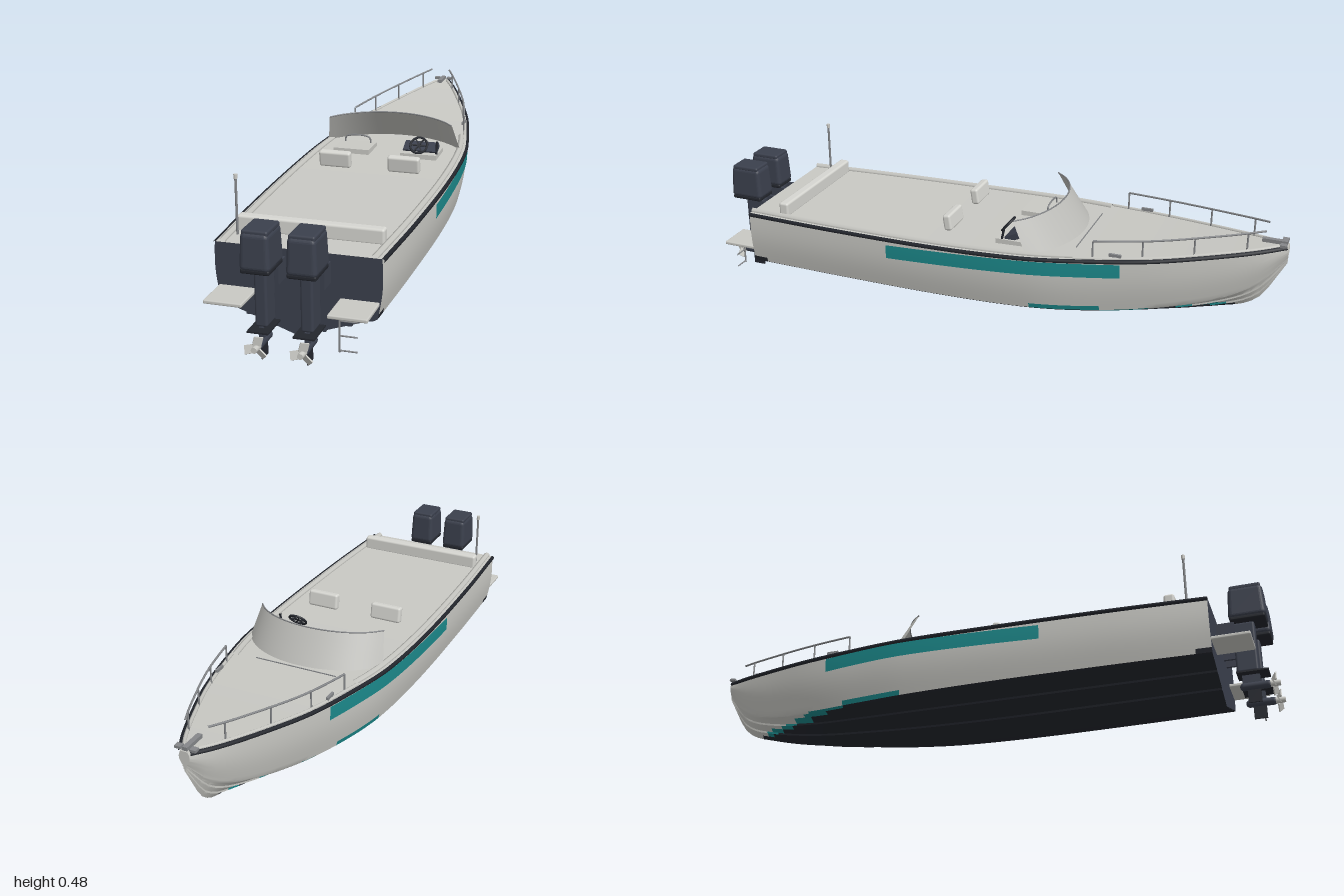
import * as THREE from 'three';
import { toCreasedNormals } from 'three/addons/utils/BufferGeometryUtils.js';
import { RoundedBoxGeometry } from 'three/addons/geometries/RoundedBoxGeometry.js';

const mat = (name, color, side = THREE.FrontSide) => {
  const m = new THREE.MeshStandardMaterial({ color, side });
  m.name = name;
  return m;
};

// Hull lines, from transom to stem
const Z = [0.82, 0.5, 0.1, -0.2, -0.4, -0.6, -0.8, -0.92, -1];
const SHEER_X = [0.252, 0.268, 0.275, 0.263, 0.229, 0.181, 0.108, 0.056, 0.012];
const SHEER_Y = [0.295, 0.298, 0.303, 0.312, 0.322, 0.335, 0.355, 0.369, 0.38];
const CHINE_X = [0.238, 0.248, 0.252, 0.238, 0.204, 0.15, 0.082, 0.038, 0.007];
const CHINE_Y = [0.11, 0.112, 0.115, 0.12, 0.13, 0.15, 0.192, 0.25, 0.335];
const KEEL_Y = [0.028, 0.025, 0.025, 0.037, 0.055, 0.08, 0.125, 0.178, 0.315];

// Smooth interpolation of a hull line at z
function line(t, z) {
  let i = 0;
  while (i < Z.length - 2 && z < Z[i + 1]) i++;
  const slope = (k) => {
    const a = Math.max(0, k - 1), b = Math.min(Z.length - 1, k + 1);
    return (t[b] - t[a]) / (Z[b] - Z[a]);
  };
  const h = Z[i + 1] - Z[i], s = (z - Z[i]) / h, s2 = s * s, s3 = s2 * s;
  return (2 * s3 - 3 * s2 + 1) * t[i] + (s3 - 2 * s2 + s) * h * slope(i)
    + (3 * s2 - 2 * s3) * t[i + 1] + (s3 - s2) * h * slope(i + 1);
}

// Point on the topsides: v = 0 at the chine, 1 at the sheer
function topside(z, v, out = 0) {
  const a = line(CHINE_X, z), b = line(SHEER_X, z), c = line(CHINE_Y, z), d = line(SHEER_Y, z);
  return new THREE.Vector3(a + (b - a) * v + 0.008 * Math.sin(Math.PI * v) + out, c + (d - c) * v, z);
}

// Half section from keel to sheer, with two spray strakes
const STRAKES = [[0, 0], [0.15, 0], [0.3, 0], [0.345, -0.006], [0.352, 0], [0.5, 0],
  [0.63, 0], [0.675, -0.006], [0.682, 0], [0.85, 0], [0.96, -0.003]];
function section(z) {
  const xc = line(CHINE_X, z), yc = line(CHINE_Y, z), yk = line(KEEL_Y, z);
  const pts = STRAKES.map(([f, dy]) => new THREE.Vector3(xc * f, yk + (yc - yk) * f + dy, z));
  for (let j = 0; j <= 12; j++) pts.push(topside(z, j / 12));
  return pts;
}

const quad = (list, a, b, c, d) => [a, b, c, a, c, d].forEach((p) => list.push(p.x, p.y, p.z));
const mir = (p) => new THREE.Vector3(-p.x, p.y, p.z);
function soup(list, crease = 0.5) {
  const g = new THREE.BufferGeometry();
  g.setAttribute('position', new THREE.Float32BufferAttribute(list, 3));
  return toCreasedNormals(g, crease);
}
// Sheet through f(u, v)
function sheet(f, nu, nv) {
  const list = [];
  for (let i = 0; i < nu; i++) for (let j = 0; j < nv; j++)
    quad(list, f(i / nu, j / nv), f((i + 1) / nu, j / nv), f((i + 1) / nu, (j + 1) / nv), f(i / nu, (j + 1) / nv));
  return soup(list);
}

export function createModel() {
  const root = new THREE.Group();
  root.name = 'motorboat';
  const light = mat('gelcoat', 0xc9c9c4);
  const cushion = mat('cushion', 0xd6d6d1);
  const sheetLight = mat('screen', 0xbcbcb8, THREE.DoubleSide);
  const teal = mat('teal', 0x1c8a8c, THREE.DoubleSide);
  const navy = mat('navy', 0x3b404d);
  const black = mat('bottomPaint', 0x23262d);
  const metal = mat('metal', 0x85878a);

  const add = (name, geo, m, x = 0, y = 0, z = 0, parent = root) => {
    const mesh = new THREE.Mesh(geo, m);
    mesh.name = name;
    mesh.position.set(x, y, z);
    parent.add(mesh);
    return mesh;
  };
  const box = (name, m, w, h, d, x, y, z, parent) => add(name, new THREE.BoxGeometry(w, h, d), m, x, y, z, parent);
  const soft = (name, m, w, h, d, r, x, y, z, parent) => add(name, new RoundedBoxGeometry(w, h, d, 2, r), m, x, y, z, parent);
  const tube = (name, m, pts, r, n = 40, sides = 8) =>
    add(name, new THREE.TubeGeometry(new THREE.CatmullRomCurve3(pts), n, r, sides), m);
  const rod = (name, m, a, b, r) => tube(name, m, [new THREE.Vector3(...a), new THREE.Vector3(...b)], r, 1);

  // Hull shell, painted by height above the waterline
  const N = 72, zs = Array.from({ length: N + 1 }, (_, i) => 0.82 - 1.82 * (i / N));
  const rows = zs.map(section), paint = { top: [], bottom: [], line: [] }, deck = [], transom = [];
  for (let i = 0; i < N; i++) {
    for (let j = 0; j < rows[0].length - 1; j++) {
      const q = [rows[i][j], rows[i + 1][j], rows[i + 1][j + 1], rows[i][j + 1]];
      const y = (q[0].y + q[1].y + q[2].y + q[3].y) / 4, z = zs[i];
      const wl = 0.118 + 0.028 * Math.max(0, -z);
      const key = y < wl ? 'bottom' : y < wl + 0.011 && z < -0.2 && z > -0.82 ? 'line' : 'top';
      quad(paint[key], ...q);
      quad(paint[key], ...q.map(mir).reverse());
    }
    const a = rows[i].at(-1), b = rows[i + 1].at(-1);
    quad(deck, mir(a), a, b, mir(b));
  }
  const stern = rows[0], bow = rows[N];
  for (let j = 0; j < stern.length - 1; j++) {
    quad(transom, mir(stern[j]), stern[j], stern[j + 1], mir(stern[j + 1]));
    quad(paint.top, bow[j], mir(bow[j]), mir(bow[j + 1]), bow[j + 1]);
  }
  add('topsides', soup(paint.top), light);
  add('bottom', soup(paint.bottom), black);
  add('waterline', soup(paint.line), teal);
  add('deck', soup(deck), light);
  add('transom', soup(transom), navy);

  // Rub rails, gunwale caps, side stripes and bow rails
  for (const s of [1, -1]) {
    const along = (z0, z1, n, dx, dy) => Array.from({ length: n + 1 }, (_, i) => {
      const z = z0 + (z1 - z0) * i / n;
      return new THREE.Vector3(s * Math.max(0.004, line(SHEER_X, z) + dx), line(SHEER_Y, z) + dy, z);
    });
    tube('rubRail', black, along(0.82, -0.995, 28, 0, -0.006), 0.0075, 80, 6);
    tube('gunwaleCap', light, along(0.82, -0.36, 16, -0.022, 0.001), 0.011, 50, 6);
    tube('toeRail', light, along(-0.36, -0.97, 14, -0.01, 0.001), 0.006, 40, 6);
    add('sideStripe', sheet((u, v) => {
      const z = 0.28 - 0.79 * u, y = 0.228 + 0.037 * u + 0.048 * v;
      const c = line(CHINE_Y, z), p = topside(z, (y - c) / (line(SHEER_Y, z) - c), 0.003);
      p.x *= s;
      return p;
    }, 30, 3), teal);
    const rail = along(-0.42, -0.93, 10, -0.014, 0.06);
    tube('bowRail', metal, rail, 0.0035);
    for (const k of [0, 3, 6, 9])
      rod('bowRailPost', metal, rail[k].toArray(), [rail[k].x, rail[k].y - 0.062, rail[k].z], 0.003);
    box('cleat', metal, 0.008, 0.01, 0.04, s * 0.196, 0.338, -0.49);
    box('bowCleat', metal, 0.02, 0.008, 0.02, s * 0.025, 0.384, -0.985);

    // Swim platform and seat back
    soft('swimPlatform', light, 0.118, 0.012, 0.13, 0.004, s * 0.185, 0.156, 0.875);
    const seat = soft('seatBack', cushion, 0.11, 0.055, 0.028, 0.008, s * 0.12, 0.343, 0.1);
    seat.rotation.x = 0.15;
    box('consolePod', light, 0.13, 0.024, 0.11, s * 0.122, 0.313, -0.135);
  }
  box('anchorRoller', metal, 0.016, 0.012, 0.08, 0, 0.385, -0.955);

  // Stern bench and antenna
  soft('sternBench', cushion, 0.455, 0.05, 0.035, 0.008, 0, 0.316, 0.697);
  rod('antennaPole', metal, [-0.21, 0.295, 0.75], [-0.21, 0.47, 0.75], 0.004);
  add('antennaTip', new THREE.CylinderGeometry(0.006, 0.006, 0.014, 12), light, -0.21, 0.474, 0.75);

  // Windscreen, wrapped round the cockpit and raked aft, with a top trim
  const screen = (u, v) => {
    const t = 2 * u - 1, e = 1 - Math.sqrt(1 - 0.75 * t * t);
    return new THREE.Vector3((0.245 - 0.02 * v) * t, 0.315 + (0.107 - 0.008 * t * t) * v,
      -0.33 + 0.075 * v + (0.25 - 0.05 * v) * e);
  };
  add('windscreen', sheet(screen, 28, 4), sheetLight);
  tube('windscreenTrim', metal, Array.from({ length: 15 }, (_, i) => screen(i / 14, 1)), 0.0025, 40, 6);
  box('deckSeam', metal, 0.29, 0.003, 0.003, 0, 0.32, -0.345);

  // Helm, wheel and passenger grab frame
  const dash = box('helmDash', navy, 0.12, 0.02, 0.05, 0.12, 0.332, -0.135);
  dash.rotation.x = 0.45;
  const wheel = new THREE.Group();
  wheel.name = 'steeringWheel';
  wheel.position.set(0.12, 0.352, -0.1);
  wheel.rotation.x = -0.7;
  add('wheelRim', new THREE.TorusGeometry(0.03, 0.004, 8, 28), black, 0, 0, 0, wheel);
  for (let k = 0; k < 3; k++)
    box('wheelSpoke', black, 0.058, 0.005, 0.004, 0, 0, 0, wheel).rotation.z = k * Math.PI / 3;
  root.add(wheel);
  rod('throttle', black, [0.183, 0.32, -0.1], [0.183, 0.368, -0.11], 0.004);
  tube('grabFrame', metal, [[-0.17, 0.322], [-0.165, 0.345], [-0.08, 0.345], [-0.075, 0.322]]
    .map(([x, y]) => new THREE.Vector3(x, y, -0.17)), 0.003, 24, 6);

  // Boarding ladder
  rod('ladderRail', metal, [0.157, 0.15, 0.92], [0.157, 0.045, 0.92], 0.003);
  for (const y of [0.14, 0.095, 0.05]) rod('ladderRung', metal, [0.157, y, 0.92], [0.21, y, 0.92], 0.0025);

  // Twin outboard engines
  const cowlGeo = new RoundedBoxGeometry(0.09, 0.112, 0.12, 3, 0.014);
  const p = cowlGeo.attributes.position;
  for (let i = 0; i < p.count; i++) {
    const k = 1 - 0.1 * Math.max(0, p.getY(i) / 0.056);
    p.setXYZ(i, p.getX(i) * k, p.getY(i), p.getZ(i) * k);
  }
  cowlGeo.computeVertexNormals();
  for (const s of [1, -1]) {
    const e = new THREE.Group();
    e.name = 'outboardEngine';
    e.position.x = s * 0.068;
    root.add(e);
    add('cowl', cowlGeo, navy, 0, 0.337, 0.922, e);
    soft('cowlCap', navy, 0.078, 0.016, 0.1, 0.006, 0, 0.392, 0.922, e);
    soft('cowlBase', black, 0.086, 0.014, 0.112, 0.005, 0, 0.28, 0.922, e);
    soft('midsection', navy, 0.038, 0.175, 0.07, 0.008, 0, 0.187, 0.905, e);
    for (const t of [1, -1]) box('mountArm', navy, 0.009, 0.065, 0.06, t * 0.028, 0.24, 0.848, e);
    box('mountBridge', navy, 0.06, 0.025, 0.04, 0, 0.25, 0.84, e);
    box('cavitationPlate', black, 0.064, 0.005, 0.1, 0, 0.095, 0.92, e);
    box('lowerLeg', navy, 0.014, 0.05, 0.055, 0, 0.075, 0.912, e);
    const gear = add('gearcase', new THREE.CapsuleGeometry(0.013, 0.075, 4, 14), navy, 0, 0.055, 0.925, e);
    gear.rotation.x = Math.PI / 2;
    box('skeg', black, 0.005, 0.05, 0.042, 0, 0.025, 0.918, e);
    const hub = add('propHub', new THREE.CylinderGeometry(0.009, 0.011, 0.032, 14), light, 0, 0.055, 0.984, e);
    hub.rotation.x = Math.PI / 2;
    for (let k = 0; k < 3; k++) {
      const arm = new THREE.Group();
      arm.name = 'propBlade';
      arm.position.set(0, 0.055, 0.982);
      arm.rotation.z = -0.25 + k * Math.PI * 2 / 3;
      box('blade', light, 0.026, 0.028, 0.004, 0, 0.022, 0, arm).rotation.y = 0.5;
      e.add(arm);
    }
  }
  return root;
}
